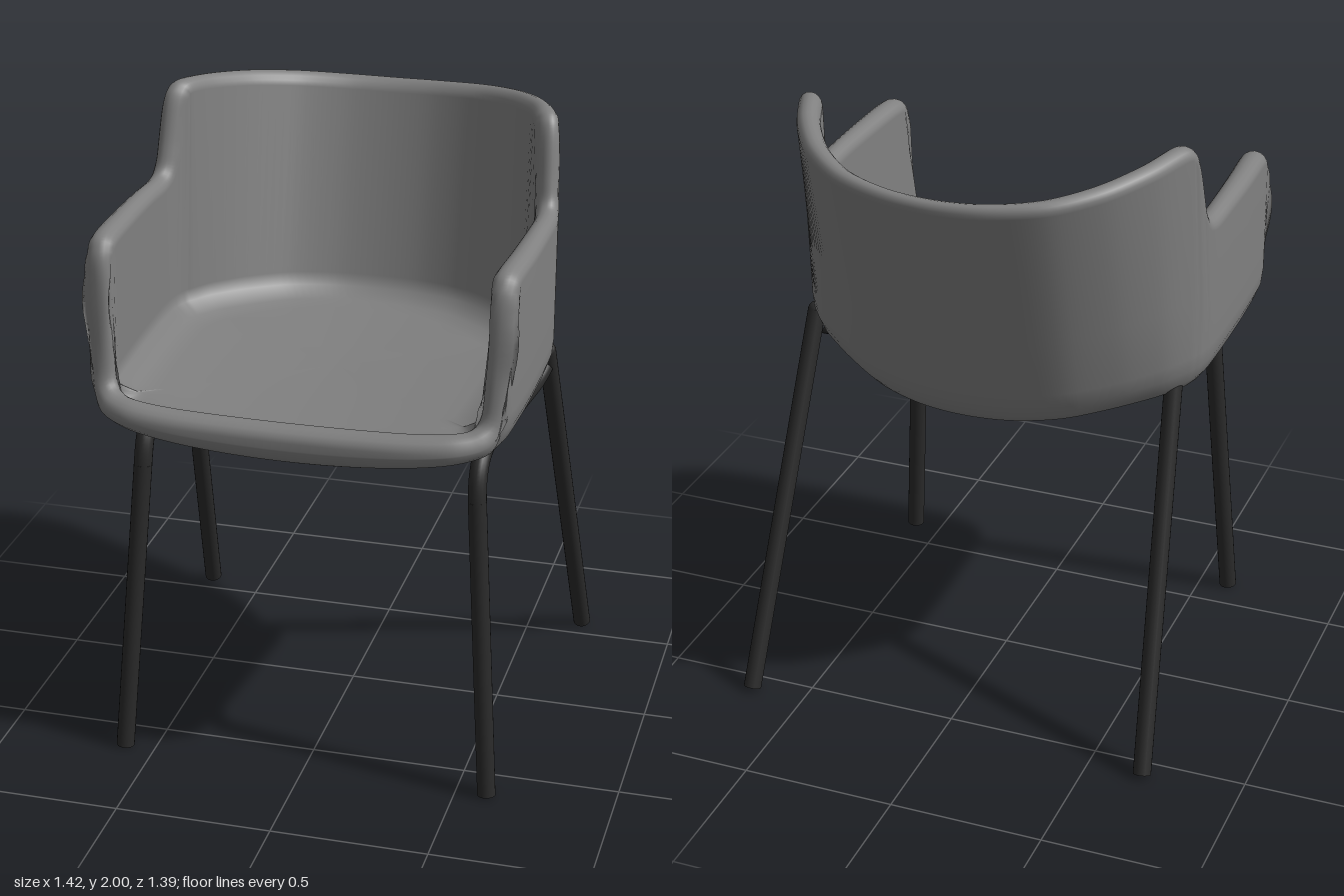
import * as THREE from 'three';

const shellMat = new THREE.MeshStandardMaterial({ color: 0x808080, name: 'shell grey' });
const frameMat = new THREE.MeshStandardMaterial({ color: 0x2a2a2a, name: 'frame black' });
const R = 0.029;
const V = (x, y, z) => new THREE.Vector3(x, y, z);

// Half rim plan, front centre to back centre: outer x, outer z, inner x, inner z, rim height
const RIM = [
  [0, 0.70, 0, 0.60, 1.215], [0.2, 0.70, 0.2, 0.60, 1.217], [0.38, 0.697, 0.36, 0.60, 1.222],
  [0.51, 0.682, 0.47, 0.595, 1.23], [0.59, 0.645, 0.53, 0.583, 1.24], [0.63, 0.605, 0.56, 0.576, 1.28],
  [0.645, 0.585, 0.57, 0.572, 1.42], [0.655, 0.575, 0.575, 0.565, 1.60], [0.665, 0.55, 0.582, 0.545, 1.68],
  [0.673, 0.49, 0.587, 0.49, 1.718], [0.68, 0.3, 0.597, 0.3, 1.72], [0.68, 0.1, 0.603, 0.1, 1.718],
  [0.677, -0.03, 0.602, -0.03, 1.715], [0.672, -0.08, 0.597, -0.08, 1.735], [0.667, -0.105, 0.592, -0.105, 1.80],
  [0.66, -0.14, 0.584, -0.135, 1.93], [0.652, -0.165, 0.576, -0.16, 1.98], [0.635, -0.215, 0.56, -0.2, 2.0],
  [0.575, -0.355, 0.51, -0.32, 1.985], [0.475, -0.505, 0.42, -0.455, 1.962], [0.34, -0.62, 0.3, -0.562, 1.94],
  [0.17, -0.68, 0.15, -0.62, 1.925], [0, -0.697, 0, -0.635, 1.92],
];

// One-piece seat, arms and back: a closed skin swept around the rim
function shellGeometry() {
  const ring = [...RIM, ...RIM.slice(1, -1).reverse().map(([a, b, c, d, h]) => [-a, b, -c, d, h])];
  const outer = new THREE.CatmullRomCurve3(ring.map(p => V(p[0], p[4], p[1])), true, 'catmullrom', 0.45);
  const inner = new THREE.CatmullRomCurve3(ring.map(p => V(p[2], p[4], p[3])), true, 'catmullrom', 0.45);
  const n = ring.length * 6, pos = [], idx = [];
  const under = x => 1.085 + 0.06 * (x / 0.6) ** 2;
  const floor = (x, z) => 1.19 + 0.04 * (x / 0.6) ** 2 + 0.03 * THREE.MathUtils.smoothstep(-z, 0, 0.6);
  let rows = 0;

  for (let i = 0; i < n; i++) {
    const t = i / n, o = outer.getPoint(t), q = inner.getPoint(t), h = o.y;
    const d = outer.getPoint((t + 0.001) % 1).sub(outer.getPoint((t + 0.999) % 1));
    const run = Math.hypot(d.x, d.z), len = d.length();
    const lean = 0.29 * THREE.MathUtils.smoothstep(-o.z, 0, 0.62);
    const yb = under(o.x), low = Math.min(0.13, (h - yb) * 0.48);
    const col = [];
    const put = (x, y, z) => col.push([x, y, z + lean * (1.92 - y)]);
    // Point between outer and inner faces, f from 0 to 1
    const wall = (f, y) => put(o.x + (q.x - o.x) * f, y, o.z + (q.z - o.z) * f);
    // Rim point set back by r at right angles to the rim line
    const rim = (f, r) => {
      const s = r * d.y / len / run;
      put(o.x + (q.x - o.x) * f + d.x * s, h - r * run / len, o.z + (q.z - o.z) * f + d.z * s);
    };
    // Point of the seat pan, k from centre to inner face
    const pan = (k, yf) => {
      const x = q.x * k, z = 0.1 + (q.z - 0.1) * k;
      put(x, yf(x, z), z);
      const c = col[col.length - 1];
      c[2] += lean * k * 0.72 - lean * (1.92 - c[1]);
    };
    const rr = Math.min(0.04, (h - yb) * 0.4);
    for (const k of [0, 0.3, 0.6, 0.85]) pan(k, under);
    wall(1, yb - 0.002);
    for (const a of [0.25, 0.5, 0.75, 1])
      wall(0.85 * (1 - Math.sin(a * Math.PI / 2)), yb + low * (1 - Math.cos(a * Math.PI / 2)));
    if (h > 1.3) wall(0, yb + low + (h - rr - yb - low) * 0.3);
    else wall(0, yb + low + 0.004);
    for (let a = 0; a <= 8; a++) {
      const g = a / 8 * Math.PI;
      rim(0.5 - 0.5 * Math.cos(g), rr * (1 - Math.sin(g)));
    }
    const yf = Math.min(floor(q.x, q.z), h - 0.012);
    wall(1, Math.min(yf + 0.07, h - rr - 0.002));
    wall(1.05, Math.min(yf + 0.03, h - rr - 0.004));
    for (const k of [0.92, 0.8, 0.6, 0.3, 0]) pan(k, floor);
    rows = col.length;
    col.forEach(p => pos.push(...p));
  }
  for (let i = 0; i < n; i++)
    for (let j = 0; j < rows - 1; j++) {
      const a = i * rows + j, b = ((i + 1) % n) * rows + j;
      idx.push(a, b, a + 1, b, b + 1, a + 1);
    }
  const g = new THREE.BufferGeometry();
  g.setAttribute('position', new THREE.Float32BufferAttribute(pos, 3));
  g.setIndex(idx);
  g.computeVertexNormals();
  return g;
}

export function createModel() {
  const model = new THREE.Group();
  const add = (name, geo, mat) => {
    const m = new THREE.Mesh(geo, mat);
    m.name = name;
    model.add(m);
    return m;
  };
  // Straight round bar between two points
  const rod = (name, a, b) => {
    const m = add(name, new THREE.CylinderGeometry(R, R, a.distanceTo(b), 20), frameMat);
    m.position.copy(a).add(b).multiplyScalar(0.5);
    m.quaternion.setFromUnitVectors(V(0, 1, 0), b.clone().sub(a).normalize());
  };

  add('seatShell', shellGeometry(), shellMat).position.x = -0.03;

  for (const s of [-1, 1]) {
    const side = s > 0 ? 'left' : 'right';
    // Front leg bends into the side rail, which runs back to the rear leg
    const knee = V(s * 0.535, 0.98, 0.548);
    rod(side + 'FrontLeg', V(s * 0.6, 0.003, 0.627), knee);
    const path = new THREE.CurvePath();
    path.add(new THREE.CubicBezierCurve3(knee, V(s * 0.53, 1.07, 0.54), V(s * 0.533, 1.125, 0.5), V(s * 0.537, 1.125, 0.41)));
    path.add(new THREE.LineCurve3(V(s * 0.537, 1.125, 0.41), V(s * 0.58, 1.125, -0.02)));
    path.add(new THREE.QuadraticBezierCurve3(V(s * 0.58, 1.125, -0.02), V(s * 0.588, 1.125, -0.08), V(s * 0.605, 1.165, -0.12)));
    add(side + 'SideRail', new THREE.TubeGeometry(path, 60, R, 16), frameMat);

    // Splayed back leg with a rounded top
    const top = V(s * 0.61, 1.215, -0.13);
    rod(side + 'BackLeg', V(s * 0.683, 0.01, -0.577), top);
    add(side + 'BackLegTop', new THREE.SphereGeometry(R, 20, 12), frameMat).position.copy(top);
  }

  // Sagging cross bars under the seat
  for (const [name, x, z] of [['frontCrossBar', 0.54, 0.38], ['rearCrossBar', 0.578, 0]]) {
    const sag = new THREE.QuadraticBezierCurve3(V(-x, 1.125, z), V(0, 1.055, z), V(x, 1.125, z));
    add(name, new THREE.TubeGeometry(sag, 32, 0.027, 16), frameMat);
  }
  return model;
}
